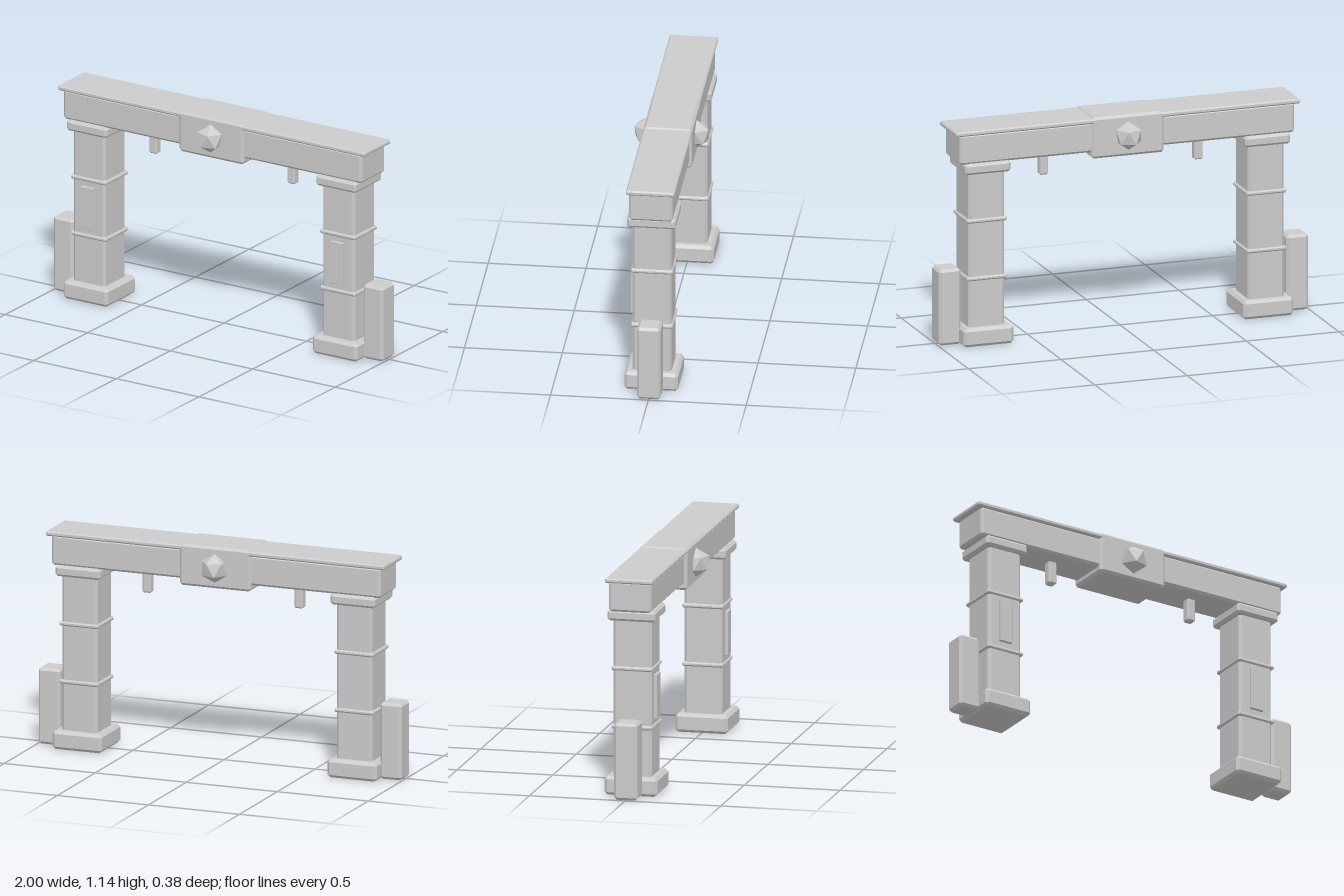
import * as THREE from 'three';
import { ConvexGeometry } from 'three/addons/geometries/ConvexGeometry.js';

const material = new THREE.MeshStandardMaterial({ color: 0xcccccc, flatShading: true });

// Box with chamfered edges, given by its limits on each axis
function block(parent, name, [x0, x1], [y0, y1], [z0, z1], bevel) {
  const half = [(x1 - x0) / 2, (y1 - y0) / 2, (z1 - z0) / 2];
  const points = [];
  for (const sx of [-1, 1]) for (const sy of [-1, 1]) for (const sz of [-1, 1]) {
    for (let axis = 0; axis < 3; axis++) {
      const p = half.map((h, i) => (i === axis ? h : h - bevel));
      points.push(new THREE.Vector3(sx * p[0], sy * p[1], sz * p[2]));
    }
  }
  const mesh = new THREE.Mesh(new ConvexGeometry(points), material);
  mesh.name = name;
  mesh.position.set((x0 + x1) / 2, (y0 + y1) / 2, (z0 + z1) / 2);
  parent.add(mesh);
  return mesh;
}

const around = (centre, size) => [centre - size / 2, centre + size / 2];

// Icosahedron standing on a point: two poles and two staggered rings of five
function gemGeometry(radius) {
  const points = [new THREE.Vector3(0, radius, 0), new THREE.Vector3(0, -radius, 0)];
  for (let i = 0; i < 5; i++) {
    const a = (i / 5) * Math.PI * 2;
    const x = Math.cos(a) * 0.8944 * radius;
    const z = Math.sin(a) * 0.8944 * radius;
    points.push(new THREE.Vector3(x, 0.4472 * radius, z));
    points.push(new THREE.Vector3(-x, -0.4472 * radius, z));
  }
  return new ConvexGeometry(points);
}

function createPillar(side) {
  const pillar = new THREE.Group();
  pillar.name = side > 0 ? 'leftPillar' : 'rightPillar';
  const cx = side * 0.755;
  block(pillar, 'base', around(cx, 0.27), [0.01, 0.107], around(0, 0.275), 0.015);
  block(pillar, 'shaft', around(cx, 0.195), [0.08, 0.94], around(0, 0.2), 0.014);
  block(pillar, 'capital', around(cx, 0.245), [0.914, 0.97], around(0, 0.25), 0.012);
  for (const y of [0.36, 0.664]) {
    block(pillar, 'band', around(cx, 0.215), around(y, 0.022), around(0, 0.215), 0.007);
  }
  block(pillar, 'frontPanel', around(cx, 0.075), [0.4, 0.627], [0.085, 0.115], 0.002);
  // Outer buttress beside the base
  block(pillar, 'buttress', around(side * 0.938, 0.12), [0.01, 0.41], around(0, 0.122), 0.014);
  // Small peg hanging below the beam
  block(pillar, 'hangingPeg', around(side * 0.417, 0.046), [0.848, 0.975], around(0, 0.046), 0.007);
  return pillar;
}

export function createModel() {
  const gate = new THREE.Group();
  gate.name = 'gateway';
  gate.add(createPillar(-1), createPillar(1));

  // Lintel and its cover slab
  block(gate, 'beam', around(0, 1.806), [0.967, 1.125], around(0, 0.222), 0.012);
  block(gate, 'coverSlab', around(0, 1.86), [1.12, 1.145], around(0, 0.248), 0.007);

  // Central keystone with a gem on both faces
  block(gate, 'keystone', around(0, 0.39), [0.935, 1.152], around(0, 0.25), 0.013);
  for (const z of [-0.125, 0.125]) {
    const gem = new THREE.Mesh(gemGeometry(0.075), material);
    gem.name = z > 0 ? 'frontGem' : 'backGem';
    gem.position.set(0, 1.042, z);
    gate.add(gem);
  }
  return gate;
}
